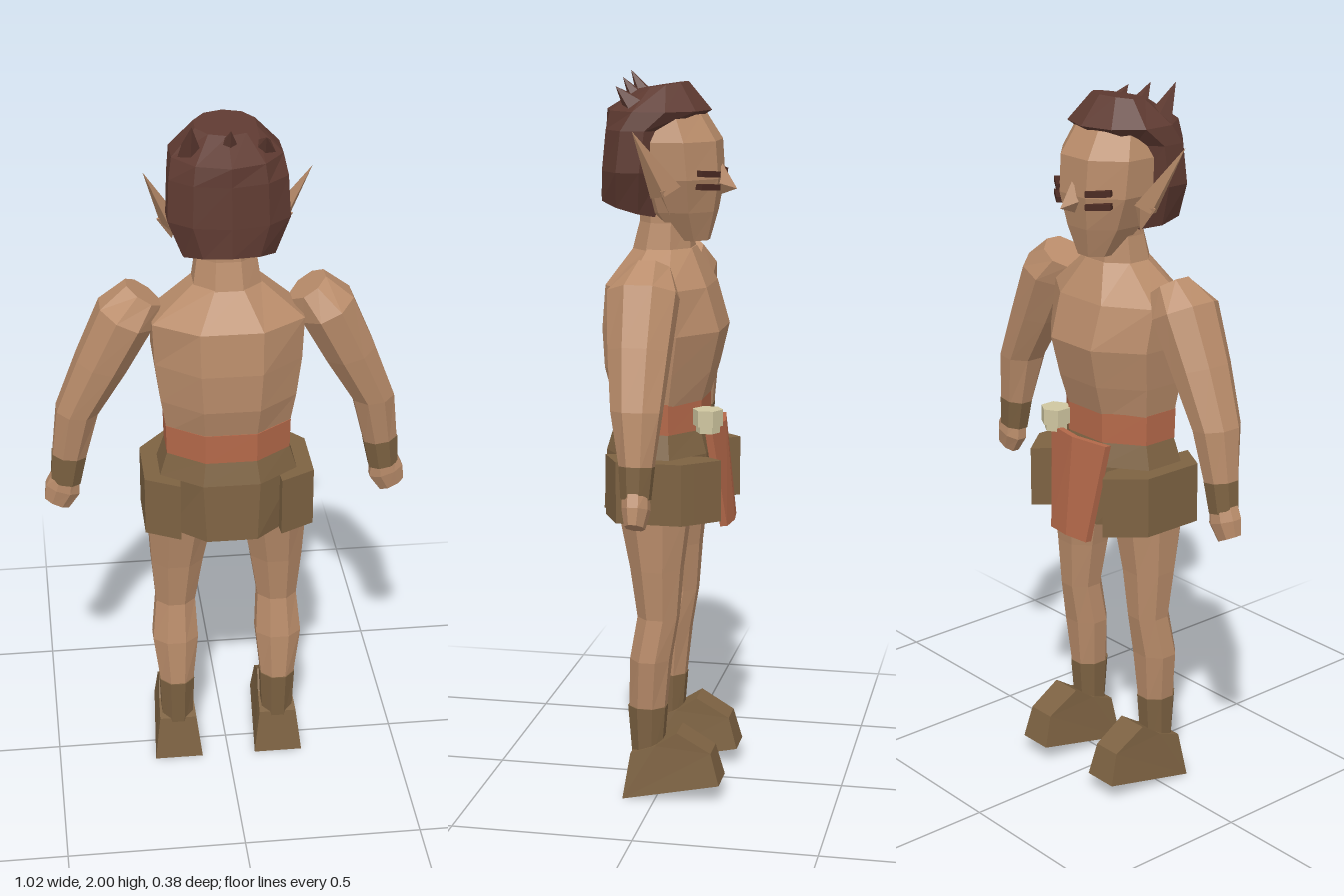
import * as THREE from 'three';

const mat = (name, color) => new THREE.MeshStandardMaterial({ name, color, flatShading: true });

export function createModel() {
  const skin = mat('skin', 0xb98c6a);
  const hair = mat('hair', 0x5e3a31);
  const leather = mat('leather', 0x7d6242);
  const sash = mat('sash', 0xb5694a);
  const bone = mat('bone', 0xcfc6a0);
  const dark = mat('brow', 0x4a2a22);
  const model = new THREE.Group();
  model.name = 'figure';

  const add = (name, geometry, material) => {
    const mesh = new THREE.Mesh(geometry, material);
    mesh.name = name;
    model.add(mesh);
    return mesh;
  };

  // Closed skin over rings, lowest first: [y, halfWidth, zMin, zMax, centreX, slopeX, slopeZ]
  function loft(name, material, rings, n = 8) {
    const pos = [], index = [], k = 1 / Math.cos(Math.PI / n);
    for (const [y, rx, z0, z1, cx = 0, sx = 0, sz = 0] of rings) {
      for (let j = 0; j < n; j++) {
        const a = ((j + 0.5) / n) * Math.PI * 2;
        const dx = rx * k * Math.cos(a), dz = ((z1 - z0) / 2) * k * Math.sin(a);
        pos.push(cx + dx, y + sx * dx + sz * dz, (z0 + z1) / 2 + dz);
      }
    }
    const top = (rings.length - 1) * n, c = rings.length * n;
    for (const [y, , z0, z1, cx = 0] of [rings[0], rings[rings.length - 1]]) pos.push(cx, y, (z0 + z1) / 2);
    for (let j = 0; j < n; j++) {
      const q = (j + 1) % n;
      for (let i = 0; i < top; i += n) {
        index.push(i + j, i + n + j, i + q, i + q, i + n + j, i + n + q);
      }
      index.push(c, j, q, c + 1, top + q, top + j);
    }
    const g = new THREE.BufferGeometry();
    g.setAttribute('position', new THREE.Float32BufferAttribute(pos, 3));
    g.setIndex(index);
    g.computeVertexNormals();
    return add(name, g, material);
  }

  // Flattened cone from a base point to a tip
  function spike(name, material, base, tip, rx, rz, sides = 4) {
    const a = new THREE.Vector3(...base), d = new THREE.Vector3(...tip).sub(a);
    const g = new THREE.ConeGeometry(1, 1, sides).translate(0, 0.5, 0).scale(rx, d.length(), rz);
    const mesh = add(name, g, material);
    mesh.position.copy(a);
    mesh.quaternion.setFromUnitVectors(new THREE.Vector3(0, 1, 0), d.normalize());
    return mesh;
  }

  // Torso, neck and sash
  loft('torso', skin, [
    [1.1, 0.168, -0.1, 0.14], [1.2, 0.185, -0.13, 0.165], [1.31, 0.2, -0.155, 0.17],
    [1.43, 0.205, -0.12, 0.16], [1.53, 0.09, -0.07, 0.09],
  ]);
  loft('neck', skin, [[1.5, 0.095, -0.07, 0.1], [1.6, 0.08, -0.06, 0.075], [1.7, 0.08, -0.06, 0.07]]);
  loft('waistSash', sash, [[1.035, 0.17, -0.105, 0.145], [1.12, 0.172, -0.105, 0.147]]);

  // Kilt, hip panels, front flap and pouch
  loft('kilt', leather, [
    [0.8, 0.17, -0.13, 0.17], [0.97, 0.19, -0.12, 0.16], [1.04, 0.168, -0.1, 0.14],
  ]);
  const plan = [[0.14, 0.15], [0.235, 0.1], [0.235, -0.08], [0.21, -0.11], [0.155, -0.175], [0.12, -0.13]];
  for (const s of [-1, 1]) {
    const shape = new THREE.Shape(plan.map(([x, z]) => new THREE.Vector2(s * x, -z)));
    const g = new THREE.ExtrudeGeometry(shape, { depth: 0.17, bevelEnabled: false });
    add('hipPanel', g.rotateX(-Math.PI / 2).translate(0, 0.8, 0), leather);
  }
  const flapGeo = new THREE.BoxGeometry(1, 0.285, 0.02, 2, 1, 1);
  const fp = flapGeo.attributes.position;
  for (let i = 0; i < fp.count; i++) {
    const x = fp.getX(i) * (fp.getY(i) > 0 ? 0.23 : 0.15);
    fp.setXYZ(i, x - 0.01, fp.getY(i), fp.getZ(i) + 1.6 * x * x);
  }
  const flap = add('frontFlap', flapGeo, sash);
  flap.position.set(0, 0.905, -0.163);
  flap.rotation.x = 0.09;
  const pouch = [[1.072, 0.042, 0.045], [1.05, 0.033, 0.04]];
  for (const [y, r, h] of pouch) {
    add('beltToggle', new THREE.CylinderGeometry(r, r, h, 6), bone).position.set(0.1, y + 0.005, -0.128);
  }

  for (const s of [-1, 1]) {
    // Legs and boots
    loft('leg', skin, [
      [0.25, 0.047, -0.02, 0.08, s * 0.148], [0.4, 0.065, -0.035, 0.075, s * 0.15],
      [0.52, 0.056, -0.055, 0.055, s * 0.147], [0.66, 0.073, -0.065, 0.075, s * 0.142],
      [0.83, 0.094, -0.085, 0.11, s * 0.13],
    ]);
    loft('bootCuff', leather, [[0.09, 0.043, -0.01, 0.07, s * 0.148], [0.26, 0.05, -0.023, 0.083, s * 0.148]]);
    const side = [[0.09, 0], [-0.18, 0.05], [-0.155, 0.14], [-0.06, 0.195], [0, 0.155], [0.07, 0.13]];
    const shape = new THREE.Shape(side.map(([z, y]) => new THREE.Vector2(-z, y)));
    const foot = new THREE.ExtrudeGeometry(shape, { depth: 0.14, bevelEnabled: false });
    foot.translate(0, 0, -0.07).rotateY(Math.PI / 2);
    const p = foot.attributes.position;
    for (let i = 0; i < p.count; i++) {
      const z = p.getZ(i);
      const toe = z < -0.1 ? 0.8 : 1;
      p.setX(i, p.getX(i) * toe * (1 - 1.8 * p.getY(i)) + s * 0.148);
    }
    foot.computeVertexNormals();
    add('boot', foot, leather);

    // Arms, bracers and hands
    const ring = (x, y, r, z0, z1, slope) => [y, r, z0, z1, s * x, s * slope];
    loft('arm', skin, [
      ring(0.437, 1.0, 0.045, -0.045, 0.04, 0.15), ring(0.41, 1.15, 0.056, -0.062, 0.068, 0.12),
      ring(0.34, 1.295, 0.066, -0.07, 0.09, 0.3), ring(0.272, 1.435, 0.068, -0.078, 0.105, 0.5),
      ring(0.222, 1.493, 0.045, -0.05, 0.06, 0.7),
    ]);
    loft('bracer', leather, [
      ring(0.448, 0.925, 0.04, -0.04, 0.035, 0.2), ring(0.436, 1.01, 0.047, -0.047, 0.042, 0.15),
    ]);
    loft('hand', skin, [
      ring(0.475, 0.855, 0.033, -0.03, 0.02, 0.5), ring(0.457, 0.9, 0.046, -0.04, 0.03, 0.35),
      ring(0.447, 0.95, 0.036, -0.035, 0.03, 0.2),
    ]);

    // Pointed ears and brow strips
    spike('ear', skin, [s * 0.148, 1.69, -0.02], [s * 0.22, 1.855, 0.055], 0.025, 0.045);
    spike('earLobe', skin, [s * 0.148, 1.7, -0.02], [s * 0.14, 1.63, -0.03], 0.024, 0.035);
    for (const y of [1.7, 1.735]) {
      const brow = add('browStrip', new THREE.BoxGeometry(0.07, 0.016, 0.025), dark);
      brow.position.set(s * 0.08, y, -0.122);
      brow.rotation.set(0, -s * 0.6, s * 0.08);
    }
  }

  // Head and nose
  loft('head', skin, [
    [1.55, 0.05, -0.11, 0.0], [1.63, 0.095, -0.13, 0.07], [1.72, 0.13, -0.145, 0.1],
    [1.82, 0.135, -0.138, 0.11], [1.89, 0.11, -0.095, 0.1],
  ]);
  spike('nose', skin, [0, 1.71, -0.13], [0, 1.69, -0.187], 0.03, 0.05);

  // Hair mass with three tufts
  loft('hair', hair, [
    [1.635, 0.12, 0.0, 0.185, -0.003, 0, 0.27], [1.74, 0.16, -0.015, 0.18, -0.003],
    [1.85, 0.155, -0.03, 0.17, -0.003], [1.9, 0.145, -0.11, 0.165, -0.003],
    [1.965, 0.08, -0.05, 0.08, -0.003, 0, -0.15],
  ], 10);
  for (const [x, y] of [[-0.1, 2.0], [0, 1.985], [0.09, 1.965]]) {
    spike('hairTuft', hair, [x, 1.91, 0.075], [x, y, 0.128], 0.034, 0.034, 5);
  }
  return model;
}
